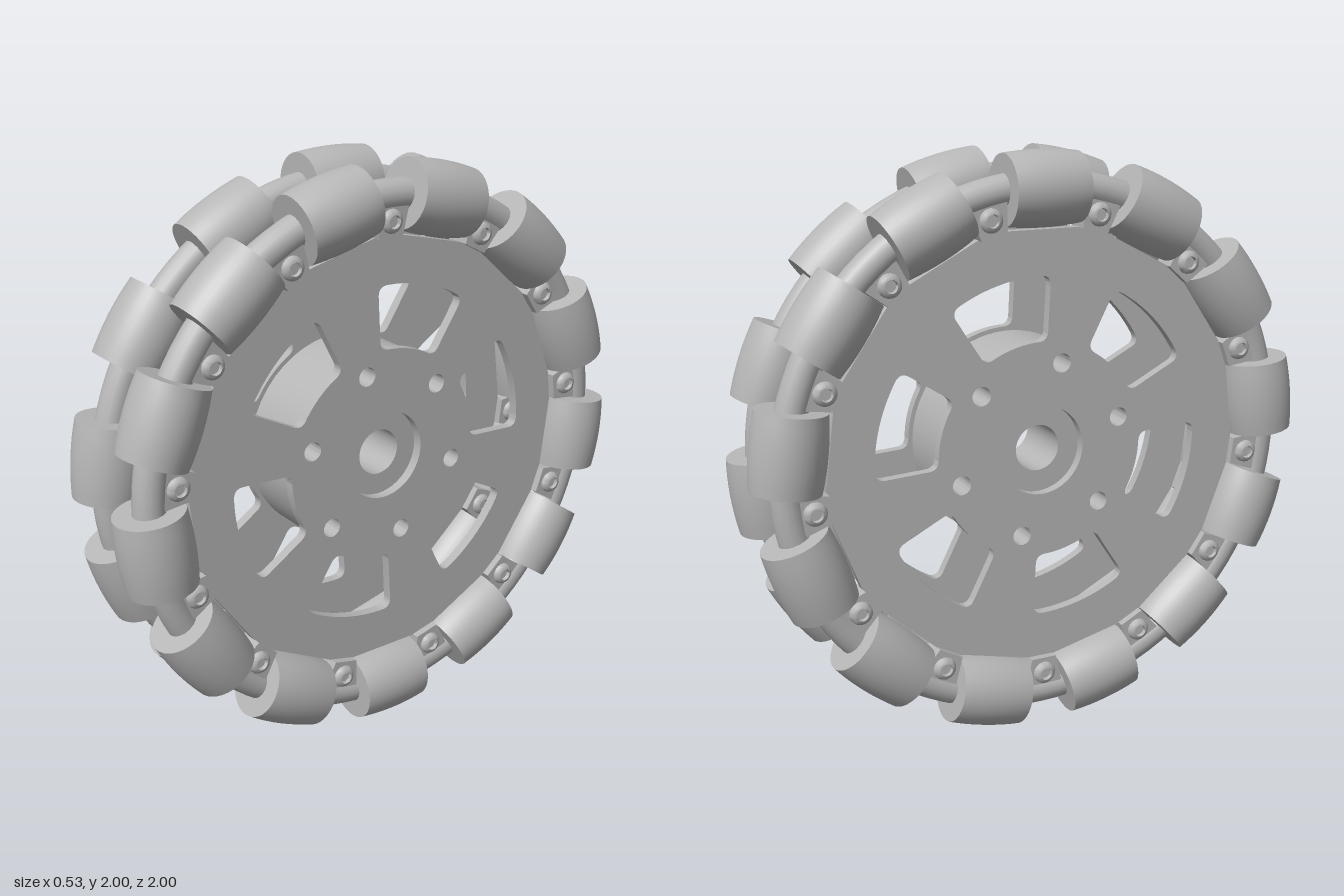
import * as THREE from 'three';
import { toCreasedNormals } from 'three/addons/utils/BufferGeometryUtils.js';

const ROLLERS = 13;
const STEP = (Math.PI * 2) / ROLLERS;
const AXIS_R = 0.875; // radius of the circle the rollers sit on
const PLATE_T = 0.036; // thickness of a wheel plate
const TAB_T = 0.088; // thickness of the blocks that hold the rim rod
const WHEEL_X = 0.14; // distance of each wheel from the middle
const rad = THREE.MathUtils.degToRad;
const polar = (r, a) => new THREE.Vector2(r * Math.cos(a), r * Math.sin(a));

const grey = new THREE.MeshStandardMaterial({ color: 0xb6b6b6 });
grey.name = 'metalGrey';

function mesh(name, geometry, parent) {
  const m = new THREE.Mesh(geometry, grey);
  m.name = name;
  parent.add(m);
  return m;
}

function circleHole(x, y, r) {
  return new THREE.Path().absarc(x, y, r, 0, Math.PI * 2, true);
}

// Centre bore and the six small bolt holes
function addHubHoles(shape, boreRadius) {
  shape.holes.push(circleHole(0, 0, boreRadius));
  for (let i = 0; i < 6; i++) {
    const c = polar(0.305, rad(44 + i * 60));
    shape.holes.push(circleHole(c.x, c.y, 0.033));
  }
}

// Sector window with rounded corners
function windowHole(mid) {
  const inner = 0.375, outer = 0.595, half = rad(18), c = 0.035;
  const a0 = mid - half, a1 = mid + half;
  const di = c / inner, dO = c / outer;
  const p = new THREE.Path();
  const line = (r, a) => { const q = polar(r, a); p.lineTo(q.x, q.y); };
  const corner = (rc, ac, r, a) => {
    const k = polar(rc, ac), q = polar(r, a);
    p.quadraticCurveTo(k.x, k.y, q.x, q.y);
  };
  const start = polar(inner + c, a0);
  p.moveTo(start.x, start.y);
  line(outer - c, a0);
  corner(outer, a0, outer, a0 + dO);
  p.absarc(0, 0, outer, a0 + dO, a1 - dO, false);
  corner(outer, a1, outer - c, a1);
  line(inner + c, a1);
  corner(inner, a1, inner, a1 - di);
  p.absarc(0, 0, inner, a1 - di, a0 + di, true);
  corner(inner, a0, inner + c, a0);
  return p;
}

function extrude(shape, depth) {
  const g = new THREE.ExtrudeGeometry(shape, { depth, bevelEnabled: false, curveSegments: 24 });
  g.translate(0, 0, -depth / 2);
  return toCreasedNormals(g, rad(35));
}

// Thin thirteen-sided plate, one flat under each roller
function plateGeometry(startAngle) {
  const cornerR = 0.746 / Math.cos(STEP / 2);
  const pts = [];
  for (let i = 0; i < ROLLERS; i++) pts.push(polar(cornerR, startAngle + (i + 0.5) * STEP));
  const shape = new THREE.Shape(pts);
  addHubHoles(shape, 0.155);
  for (let i = 0; i < 6; i++) shape.holes.push(windowHole(rad(15 + i * 60)));
  return extrude(shape, PLATE_T);
}

// Wedge block between two rollers, from the plate's corner to the rim rod
function tabGeometry() {
  const shape = new THREE.Shape([[0.755, -0.046], [0.885, -0.077], [0.885, 0.077], [0.755, 0.046]]
    .map(([x, y]) => new THREE.Vector2(x, y)));
  return extrude(shape, TAB_T);
}

// Barrel roller whose side follows the wheel's outer circle
function rollerGeometry() {
  const h = 0.131;
  const pts = [new THREE.Vector2(0, -h)];
  for (let i = 0; i <= 8; i++) {
    const t = -h + (2 * h * i) / 8;
    pts.push(new THREE.Vector2(Math.sqrt(1 - t * t) - AXIS_R, t));
  }
  pts.push(new THREE.Vector2(0, h));
  return toCreasedNormals(new THREE.LatheGeometry(pts, 36), rad(35));
}

// Button-head screw with a round socket, pointing along +z
function screwGeometry() {
  const pts = [[0.04, 0], [0.039, 0.008], [0.032, 0.017], [0.022, 0.02], [0.02, 0.006], [0, 0.006]];
  const g = new THREE.LatheGeometry(pts.map(([x, y]) => new THREE.Vector2(x, y)), 18);
  g.rotateX(Math.PI / 2);
  return toCreasedNormals(g, rad(40));
}

function makeWheel(name, startAngle, geo) {
  const wheel = new THREE.Group();
  wheel.name = name;
  mesh('plate', plateGeometry(startAngle), wheel);
  // Round rim rod that carries the rollers
  mesh('rimRod', new THREE.TorusGeometry(0.884, 0.054, 16, 104), wheel);

  for (let i = 0; i < ROLLERS; i++) {
    const station = new THREE.Group();
    station.name = 'rollerStation';
    station.rotation.z = startAngle + i * STEP;
    mesh('roller', geo.roller, station).position.x = AXIS_R;
    wheel.add(station);

    const bracket = new THREE.Group();
    bracket.name = 'bracket';
    bracket.rotation.z = startAngle + (i + 0.5) * STEP;
    mesh('tab', geo.tab, bracket);
    for (const s of [1, -1]) {
      const screw = mesh('screw', geo.screw, bracket);
      screw.position.set(0.81, 0, (s * TAB_T) / 2);
      if (s < 0) screw.rotation.y = Math.PI;
    }
    wheel.add(bracket);
  }
  return wheel;
}

export function createModel() {
  const model = new THREE.Group();
  model.name = 'omniWheel';

  // Built facing local +z, then turned so the axle runs along x
  const assembly = new THREE.Group();
  assembly.name = 'wheelAssembly';
  assembly.rotation.y = Math.PI / 2;
  assembly.position.y = 1;
  model.add(assembly);

  const geo = { roller: rollerGeometry(), screw: screwGeometry(), tab: tabGeometry() };
  const leftWheel = makeWheel('leftWheel', -Math.PI / 2, geo);
  leftWheel.position.z = WHEEL_X;
  const rightWheel = makeWheel('rightWheel', Math.PI / 2, geo);
  rightWheel.position.z = -WHEEL_X;
  assembly.add(leftWheel, rightWheel);

  // Hub drum joining the plates; its ends show inside the plates' centre holes
  const drum = new THREE.Shape().absarc(0, 0, 0.36, 0, Math.PI * 2, false);
  addHubHoles(drum, 0.08);
  mesh('hubDrum', extrude(drum, 2 * WHEEL_X - PLATE_T), assembly);
  return model;
}
